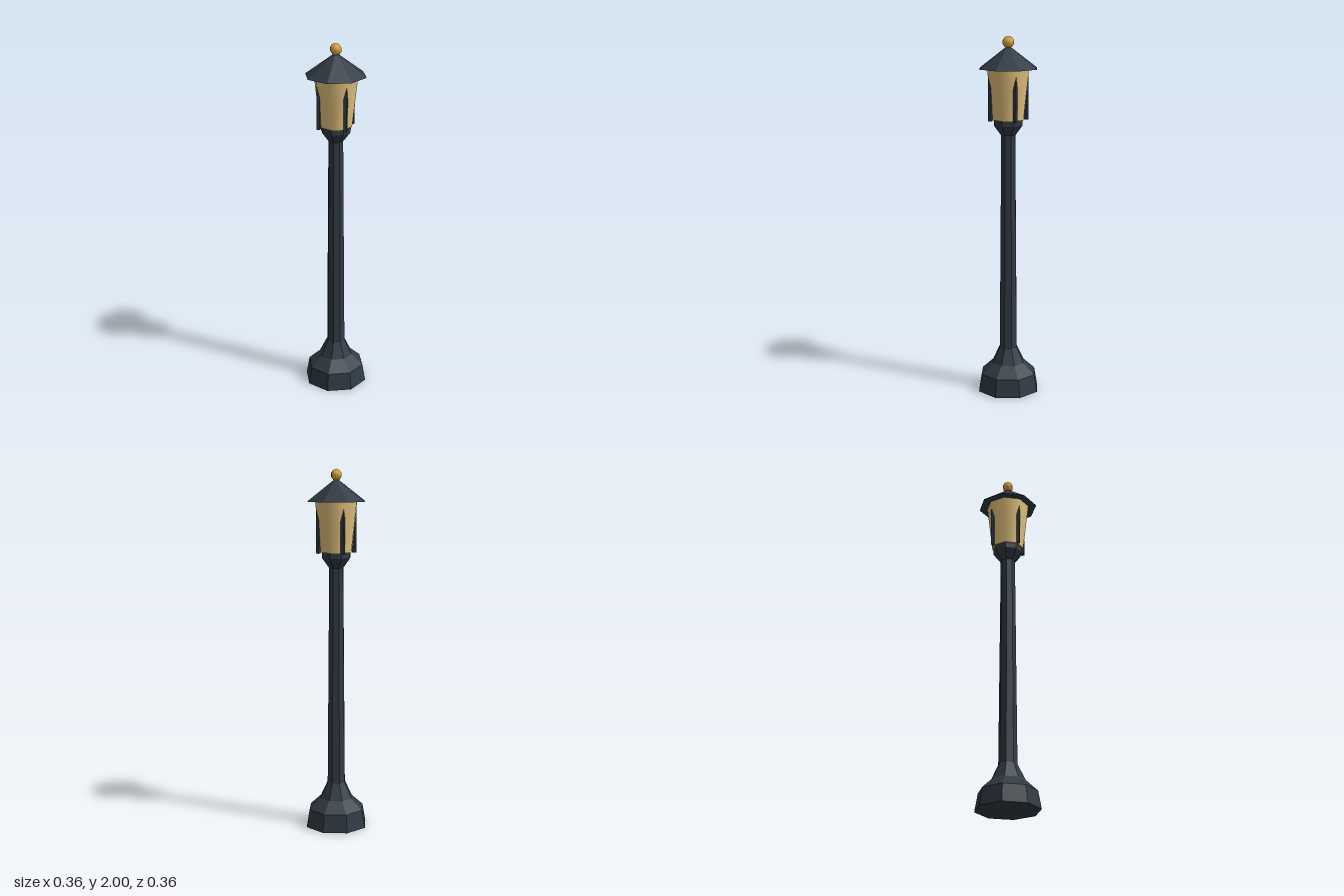
import * as THREE from 'three';

const metal = new THREE.MeshStandardMaterial({ color: 0x303b44 });
metal.name = 'darkMetal';
const glow = new THREE.MeshStandardMaterial({ color: 0xe9c680 });
glow.name = 'warmGlass';
const brass = new THREE.MeshStandardMaterial({ color: 0xdaa53a });
brass.name = 'brass';

// Gives every face its own flat normal
function faceted(geometry) {
  const flat = geometry.toNonIndexed();
  flat.computeVertexNormals();
  return flat;
}

// Eight-sided shape turned from [radius, height] points, bottom to top
function turned(points) {
  return faceted(new THREE.LatheGeometry(points.map(([r, y]) => new THREE.Vector2(r, y)), 8));
}

export function createModel() {
  const lamp = new THREE.Group();
  lamp.name = 'streetLamp';

  function add(name, geometry, material, x = 0, y = 0, z = 0) {
    const mesh = new THREE.Mesh(geometry, material);
    mesh.name = name;
    mesh.position.set(x, y, z);
    lamp.add(mesh);
  }

  // Stepped foot and tapering post
  add('base', turned([[0, 0], [0.178, 0], [0.16, 0.1], [0.095, 0.16], [0.052, 0.25], [0, 0.25]]), metal);
  add('post', turned([[0.052, 0.2], [0.041, 1.5]]), metal);

  // Cup that carries the lantern
  add('collar', turned([[0, 1.465], [0.042, 1.465], [0.083, 1.52], [0.083, 1.55], [0, 1.55]]), metal);

  // Lantern glass, widening upwards, with smooth sides
  add('glass', new THREE.CylinderGeometry(0.122, 0.09, 0.28, 8), glow, 0, 1.69, 0);

  // Four upright bars at the corners, sinking into the glass near the top
  for (const x of [-1, 1]) {
    for (const z of [-1, 1]) {
      add('lanternBar', new THREE.BoxGeometry(0.018, 0.28, 0.018), metal, x * 0.074, 1.685, z * 0.074);
    }
  }

  // Pointed roof and finial
  add('roof', turned([[0, 1.826], [0.168, 1.826], [0, 1.951]]), metal);
  add('finial', new THREE.SphereGeometry(0.0325, 6, 5), brass, 0, 1.9675, 0);

  return lamp;
}
